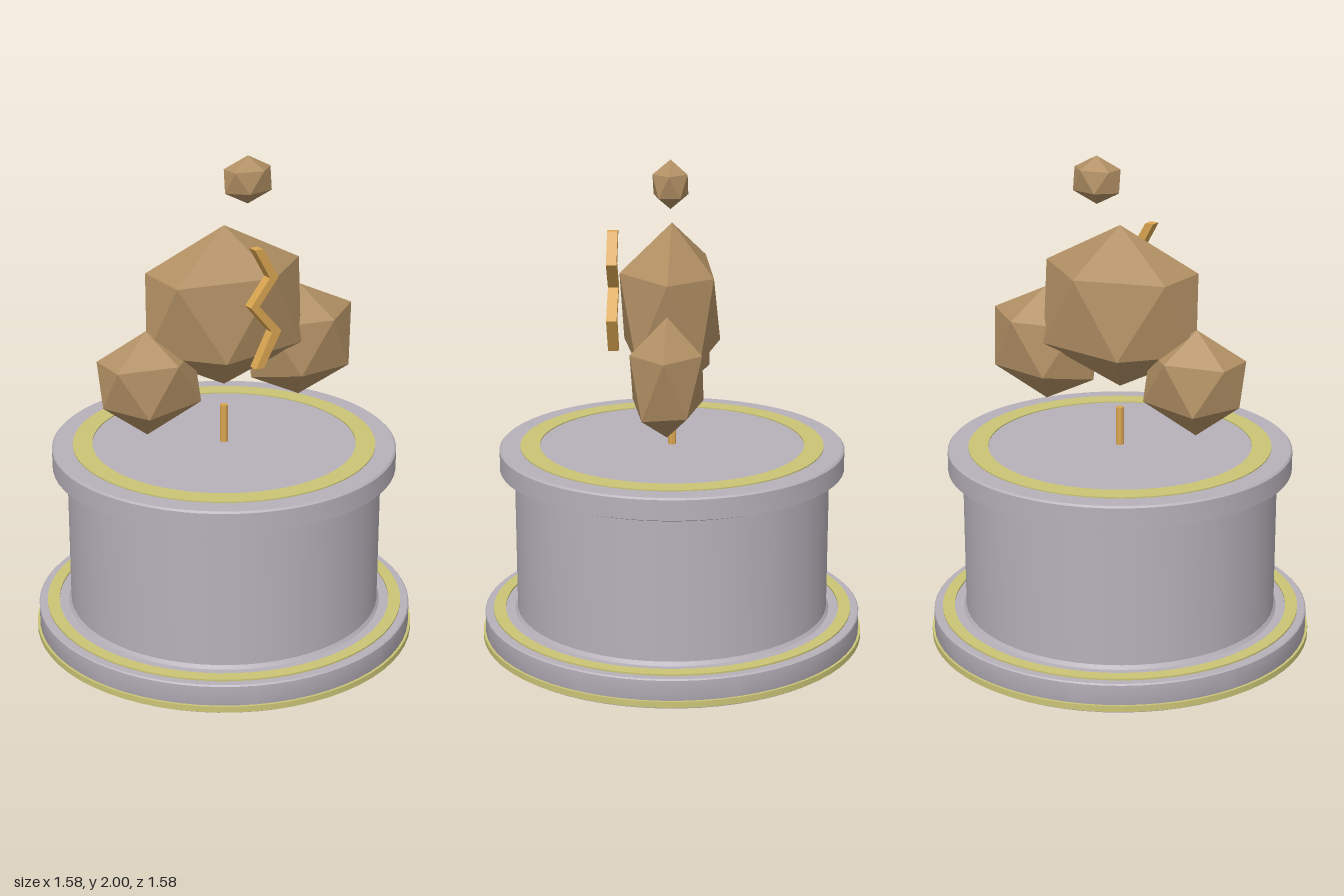
import * as THREE from 'three';
import { toCreasedNormals } from 'three/addons/utils/BufferGeometryUtils.js';

const mat = (name, color) => new THREE.MeshStandardMaterial({ name, color });

export function createModel() {
  const stone = mat('stone grey', 0xb7b1ba);
  const trim = mat('pale gold trim', 0xcbc577);
  const rockMat = mat('brown rock', 0xb29064);
  const amber = mat('amber', 0xd9a550);

  const model = new THREE.Group();
  const add = (name, geometry, material, parent = model) => {
    const mesh = new THREE.Mesh(geometry, material);
    mesh.name = name;
    parent.add(mesh);
    return mesh;
  };

  // Turned shapes, with profiles running from the bottom outwards and up
  const turned = (points) => toCreasedNormals(
    new THREE.LatheGeometry(points.map(([r, y]) => new THREE.Vector2(r, y)), 64), 0.4);
  const band = (inner, outer, y0, y1) =>
    turned([[inner, y0], [outer, y0], [outer, y1], [inner, y1], [inner, y0]]);

  // Pedestal
  const pedestal = new THREE.Group();
  pedestal.name = 'pedestal';
  model.add(pedestal);
  add('base', turned([[0, 0], [0.778, 0], [0.78, 0.005], [0.78, 0.115], [0.775, 0.12], [0.6, 0.12]]), stone, pedestal);
  add('column', turned([[0.655, 0.12], [0.645, 0.135], [0.645, 0.71], [0.655, 0.72]]), stone, pedestal);
  add('cap', turned([[0.64, 0.715], [0.67, 0.718], [0.705, 0.732], [0.705, 0.813], [0.698, 0.82], [0, 0.82]]), stone, pedestal);
  add('footBand', band(0.77, 0.79, 0.008, 0.033), trim, pedestal);
  add('baseRing', band(0.695, 0.745, 0.115, 0.127), trim, pedestal);
  add('capRing', band(0.54, 0.62, 0.815, 0.825), trim, pedestal);

  // Short post standing on the cap
  const post = new THREE.CylinderGeometry(0.017, 0.017, 0.16, 8);
  add('post', toCreasedNormals(post, 0.4), amber).position.y = 0.9;

  // Stretched twenty-sided rocks: top, upper ring, lower ring, bottom
  const rock = (name, centre, scale, nudges = {}) => {
    const points = [[0, 1, 0]];
    for (const [turn, y] of [[0, 0.447], [0.5, -0.447]]) {
      for (let k = 0; k < 5; k++) {
        const a = (k + turn) * Math.PI * 2 / 5;
        points.push([0.894 * Math.cos(a), y, 0.894 * Math.sin(a)]);
      }
    }
    points.push([0, -1, 0]);
    const position = points.flatMap((p, i) =>
      p.map((v, axis) => v * scale[axis] + (nudges[i] ? nudges[i][axis] : 0)));
    const index = [];
    for (let k = 0; k < 5; k++) {
      const n = (k + 1) % 5;
      const u = 1 + k, un = 1 + n, l = 6 + k, ln = 6 + n;
      index.push(0, un, u, u, un, l, un, ln, l, 11, l, ln);
    }
    const indexed = new THREE.BufferGeometry();
    indexed.setAttribute('position', new THREE.Float32BufferAttribute(position, 3));
    indexed.setIndex(index);
    const geometry = indexed.toNonIndexed();
    geometry.computeVertexNormals();
    add(name, geometry, rockMat).position.set(...centre);
  };
  const lower = [0, -0.02, 0];
  rock('centreRock', [0, 1.403, 0], [0.4, 0.333, 0.237],
    { 5: [0, -0.02, 0.03], 6: lower, 7: lower, 9: [0, -0.02, 0.01], 10: lower });
  rock('rightRock', [-0.36, 1.143, 0], [0.242, 0.218, 0.163],
    { 6: [0.025, 0.01, 0], 8: [0.02, 0.03, 0], 10: [0.02, 0.01, 0] });
  rock('leftRock', [0.365, 1.195, 0], [0.28, 0.24, 0.163],
    { 1: [0.01, 0.01, 0], 6: [-0.01, -0.015, 0], 8: [0.015, -0.015, 0] });
  rock('topRock', [0.11, 1.905, 0], [0.118, 0.097, 0.08]);

  // Zigzag bolt floating before the centre rock
  const bolt = new THREE.Shape([
    [-0.02, 1.7], [0.05, 1.578], [-0.037, 1.47], [0.062, 1.355], [-0.012, 1.213],
    [0.026, 1.213], [0.106, 1.355], [0.003, 1.47], [0.09, 1.578], [0.018, 1.7],
  ].map(([x, y]) => new THREE.Vector2(x, y)));
  add('bolt', new THREE.ExtrudeGeometry(bolt, { depth: 0.042, bevelEnabled: false }), amber).position.z = 0.215;

  return model;
}
